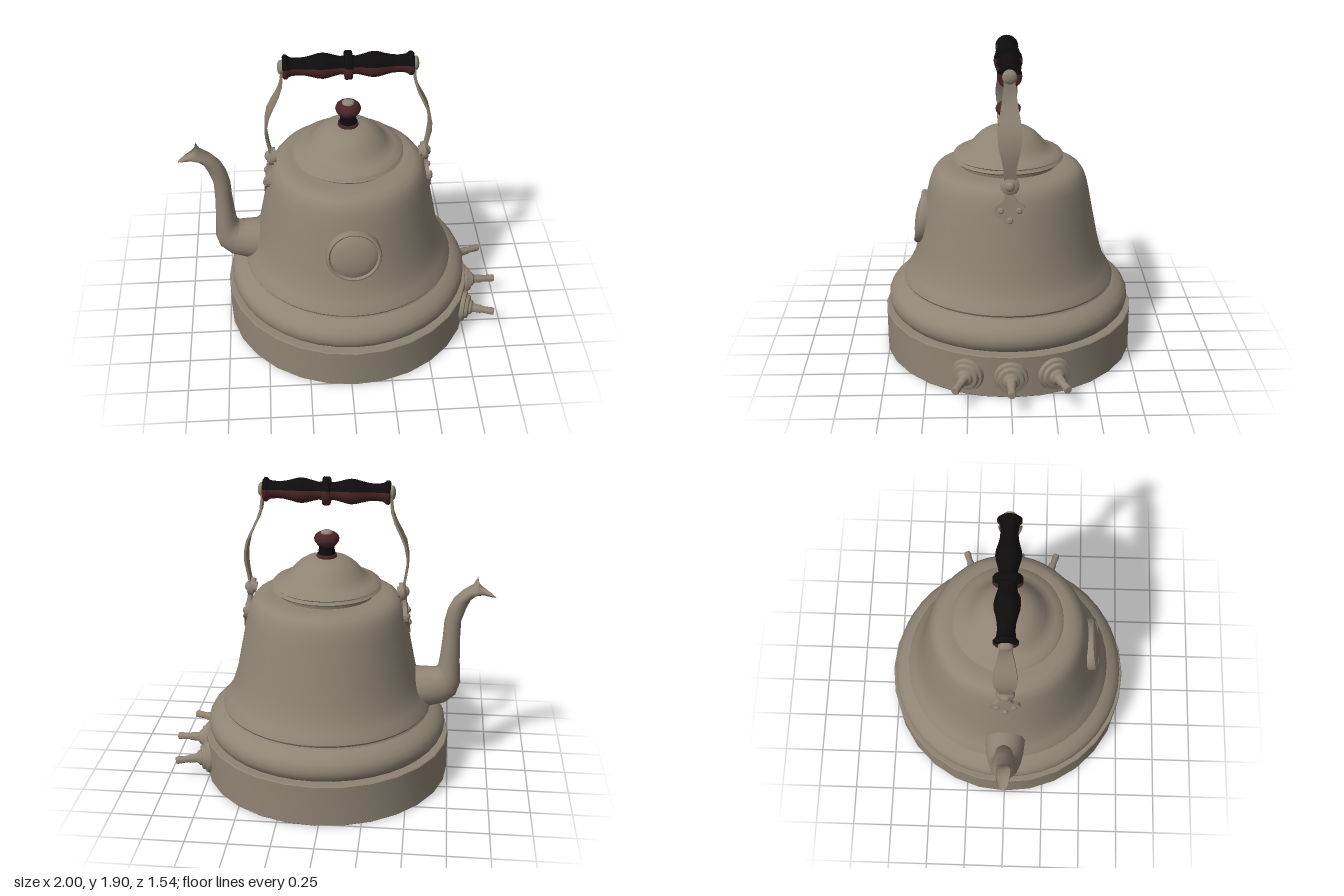
import * as THREE from 'three';
import { toCreasedNormals } from 'three/addons/utils/BufferGeometryUtils.js';

const metal = new THREE.MeshStandardMaterial({ color: 0x8f8474, side: THREE.DoubleSide });
metal.name = 'warm grey metal';
const redWood = new THREE.MeshStandardMaterial({ color: 0x4a2426 });
redWood.name = 'dark red wood';
const blackWood = new THREE.MeshStandardMaterial({ color: 0x0e0c0c });
blackWood.name = 'black wood';

function add(parent, name, geometry, material = metal) {
  const mesh = new THREE.Mesh(geometry, material);
  mesh.name = name;
  parent.add(mesh);
  return mesh;
}

// Turned part from [radius, height] pairs, bottom to top
function turned(profile, segments = 24, start = 0, length = Math.PI * 2) {
  const points = profile.map(([r, y]) => new THREE.Vector2(r, y));
  return toCreasedNormals(new THREE.LatheGeometry(points, segments, start, length), 0.65);
}

// Skin over equal-sized rings of points; the ends may be closed
function loft(rings, closed, crease) {
  const n = rings[0].length;
  const index = [];
  for (let i = 0; i < rings.length - 1; i++) {
    for (let j = 0; j < n; j++) {
      const a = i * n + j, b = i * n + (j + 1) % n;
      index.push(a, b, b + n, a, b + n, a + n);
    }
  }
  if (closed) {
    const e = (rings.length - 1) * n;
    for (let j = 1; j < n - 1; j++) index.push(0, j + 1, j, e, e + j, e + j + 1);
  }
  const geometry = new THREE.BufferGeometry().setFromPoints(rings.flat());
  geometry.setIndex(index);
  geometry.computeVertexNormals();
  return crease ? toCreasedNormals(geometry, crease) : geometry;
}

// Spout: ellipses spanning an outer and an inner outline, with half width in z
function spoutGeometry() {
  const sections = [
    [-0.42, 0.42, -0.42, 0.70, 0.14], [-0.54, 0.435, -0.54, 0.70, 0.13],
    [-0.65, 0.45, -0.63, 0.70, 0.12], [-0.745, 0.475, -0.675, 0.70, 0.105],
    [-0.81, 0.53, -0.69, 0.715, 0.09], [-0.835, 0.61, -0.697, 0.745, 0.078],
    [-0.825, 0.75, -0.705, 0.81, 0.067], [-0.82, 0.90, -0.715, 0.92, 0.058],
    [-0.822, 1.02, -0.72, 1.02, 0.052], [-0.85, 1.11, -0.738, 1.10, 0.051],
    [-0.875, 1.165, -0.77, 1.165, 0.053], [-0.91, 1.195, -0.825, 1.22, 0.056],
    [-0.955, 1.2, -0.885, 1.26, 0.058], [-1.025, 1.18, -0.91, 1.31, 0.042],
  ];
  const rings = sections.map(([ox, oy, ix, iy, w]) => {
    const ring = [];
    for (let j = 0; j < 18; j++) {
      const a = (j / 18) * Math.PI * 2, t = (1 + Math.cos(a)) / 2;
      ring.push(new THREE.Vector3(ox + (ix - ox) * t, oy + (iy - oy) * t, -w * Math.sin(a)));
    }
    return ring;
  });
  // Pull the sides of the mouth back so it forms a pouring lip
  rings.at(-1).forEach((p) => { p.x += 0.045 * (1 - Math.abs((p.y - 1.245) / 0.065)); });
  return loft(rings, false);
}

// Curved strap, swelling in the middle: x, y and half width
function armGeometry() {
  const path = [
    [0.455, 1.16, 0.03], [0.465, 1.22, 0.034], [0.478, 1.30, 0.036], [0.488, 1.37, 0.05],
    [0.486, 1.44, 0.066], [0.472, 1.51, 0.071], [0.445, 1.57, 0.063], [0.41, 1.64, 0.05],
    [0.39, 1.70, 0.04], [0.383, 1.76, 0.034], [0.383, 1.83, 0.032],
  ];
  const t = 0.007;
  const rings = path.map(([x, y, w]) => [
    new THREE.Vector3(x - t, y, w), new THREE.Vector3(x + t, y, w),
    new THREE.Vector3(x + t, y, -w), new THREE.Vector3(x - t, y, -w),
  ]);
  return loft(rings, true, 0.65);
}

// Pointed leaf plate that holds the arm's hinge
function bracketGeometry() {
  const s = new THREE.Shape();
  s.moveTo(0, -0.27);
  for (const side of [1, -1]) {
    if (side === 1) {
      s.quadraticCurveTo(0.015, -0.225, 0.035, -0.205);
      s.quadraticCurveTo(0.05, -0.19, 0.06, -0.185);
      s.bezierCurveTo(0.1, -0.18, 0.1, -0.11, 0.06, -0.1);
      s.quadraticCurveTo(0.03, -0.09, 0.028, -0.04);
      s.lineTo(0.035, 0.04);
    } else {
      s.lineTo(-0.035, 0.04);
      s.lineTo(-0.028, -0.04);
      s.quadraticCurveTo(-0.03, -0.09, -0.06, -0.1);
      s.bezierCurveTo(-0.1, -0.11, -0.1, -0.18, -0.06, -0.185);
      s.quadraticCurveTo(-0.05, -0.19, -0.035, -0.205);
      s.quadraticCurveTo(-0.015, -0.225, 0, -0.27);
    }
  }
  const g = new THREE.ExtrudeGeometry(s, { depth: 0.025, bevelEnabled: false, curveSegments: 6 });
  return g.translate(0, 0, -0.015).rotateY(Math.PI / 2);
}

// Domed rivet pointing along +x
function rivet(r, h) {
  return turned([[r, -h], [r, h * 0.3], [r * 0.75, h * 0.75], [r * 0.4, h * 0.95], [0, h]], 14)
    .rotateZ(-Math.PI / 2);
}

export function createModel() {
  const root = new THREE.Group();
  root.name = 'kettle';
  const kettle = new THREE.Group();
  kettle.name = 'kettleParts';
  kettle.position.x = 0.025;
  root.add(kettle);

  // Heating base and bell-shaped body
  add(kettle, 'base', turned([[0, 0], [0.765, 0], [0.77, 0.005], [0.77, 0.26], [0.765, 0.265], [0.68, 0.265]], 28));
  add(kettle, 'body', turned([
    [0.70, 0.262], [0.718, 0.272], [0.737, 0.295], [0.747, 0.325], [0.745, 0.36], [0.73, 0.39],
    [0.705, 0.415], [0.668, 0.437], [0.65, 0.445], [0.645, 0.455], [0.652, 0.468], [0.645, 0.485],
    [0.615, 0.53], [0.592, 0.575], [0.574, 0.63], [0.555, 0.70], [0.537, 0.79], [0.515, 0.90],
    [0.496, 1.0], [0.478, 1.08], [0.462, 1.125], [0.437, 1.16], [0.40, 1.178], [0.35, 1.182], [0.29, 1.182],
  ], 40));

  // Lid with a doubled rim
  add(kettle, 'lid', turned([
    [0.29, 1.17], [0.295, 1.2], [0.325, 1.213], [0.333, 1.22], [0.322, 1.23], [0.318, 1.236], [0.331, 1.245],
    [0.325, 1.253], [0.285, 1.265], [0.25, 1.282], [0.225, 1.31], [0.2, 1.34], [0.17, 1.37],
    [0.135, 1.393], [0.09, 1.408], [0, 1.412],
  ], 36));

  // Lid knob
  add(kettle, 'knobFoot', turned([[0.055, 1.4], [0.062, 1.412], [0.06, 1.425], [0.045, 1.432], [0, 1.432]]), redWood);
  add(kettle, 'knobNeck', turned([[0.053, 1.428], [0.05, 1.445], [0.046, 1.465], [0.05, 1.485]]), blackWood);
  add(kettle, 'knobBall', turned([
    [0.045, 1.475], [0.058, 1.488], [0.072, 1.507], [0.076, 1.525], [0.07, 1.542], [0.055, 1.556], [0, 1.562],
  ]), redWood);
  add(kettle, 'knobCap', turned([[0.038, 1.555], [0.034, 1.568], [0.018, 1.575], [0, 1.577]], 16));

  add(kettle, 'spout', spoutGeometry());

  // Turned handle grip: black along the top, red below
  const half = [
    [0.085, 0.014], [0.08, 0.022], [0.055, 0.026], [0.052, 0.045], [0.06, 0.08], [0.07, 0.115], [0.075, 0.145],
    [0.072, 0.175], [0.062, 0.21], [0.053, 0.25], [0.05, 0.29], [0.054, 0.33], [0.062, 0.345],
    [0.071, 0.353], [0.071, 0.368], [0.06, 0.377], [0, 0.377],
  ];
  const grip = [...half.map(([r, y]) => [r, -y]).reverse(), ...half];
  const blackArc = 2.7;
  const gripGroup = new THREE.Group();
  gripGroup.name = 'handleGrip';
  gripGroup.position.y = 1.815;
  gripGroup.rotation.z = -Math.PI / 2;
  kettle.add(gripGroup);
  const arcStart = Math.PI * 1.5 - blackArc / 2;
  add(gripGroup, 'gripTop', turned(grip, 12, arcStart, blackArc), blackWood);
  add(gripGroup, 'gripUnderside', turned(grip, 16, arcStart + blackArc, Math.PI * 2 - blackArc), redWood);

  // Handle arms, hinges and brackets on both sides
  for (const side of [0, 1]) {
    const arm = new THREE.Group();
    arm.name = side ? 'rightHandleArm' : 'leftHandleArm';
    arm.rotation.y = side * Math.PI;
    kettle.add(arm);
    add(arm, 'strap', armGeometry());
    add(arm, 'gripRivet', rivet(0.042, 0.022)).position.set(0.385, 1.815, 0);
    const bracket = new THREE.Group();
    bracket.name = 'bracket';
    bracket.position.set(0.467, 1.2, 0);
    bracket.rotation.z = 0.15;
    arm.add(bracket);
    add(bracket, 'bracketPlate', bracketGeometry());
    add(bracket, 'hingeDisc', rivet(0.055, 0.022));
    add(bracket, 'hingePin', rivet(0.034, 0.036));
    for (const [y, z] of [[-0.142, 0.052], [-0.142, -0.052], [-0.2, 0]]) {
      add(bracket, 'bracketRivet', rivet(0.018, 0.012)).position.set(0.013, y, z);
    }
  }

  // Domed round medallion on the front
  const medallion = add(kettle, 'medallion', turned([
    [0.16, -0.05], [0.165, 0], [0.166, 0.022], [0.16, 0.036], [0.15, 0.04], [0.142, 0.032],
    [0.14, 0.026], [0.125, 0.036], [0.09, 0.046], [0.045, 0.052], [0, 0.054],
  ], 36).rotateX(Math.PI / 2));
  medallion.position.set(0, 0.833, 0.518);
  medallion.rotation.x = -0.18;

  // Three taps fanned around the base
  for (const angle of [-0.335, 0, 0.335]) {
    const tap = add(kettle, 'tap', turned([
      [0.098, 0.73], [0.1, 0.775], [0.094, 0.79], [0.08, 0.793], [0.076, 0.803], [0.072, 0.812],
      [0.05, 0.816], [0.045, 0.83], [0.032, 0.838], [0.027, 0.85], [0.026, 0.89], [0.021, 0.9],
      [0.024, 0.965], [0.02, 0.975], [0, 0.975],
    ], 20).rotateZ(-Math.PI / 2));
    tap.position.y = 0.135;
    tap.rotation.y = angle;
  }
  return root;
}
